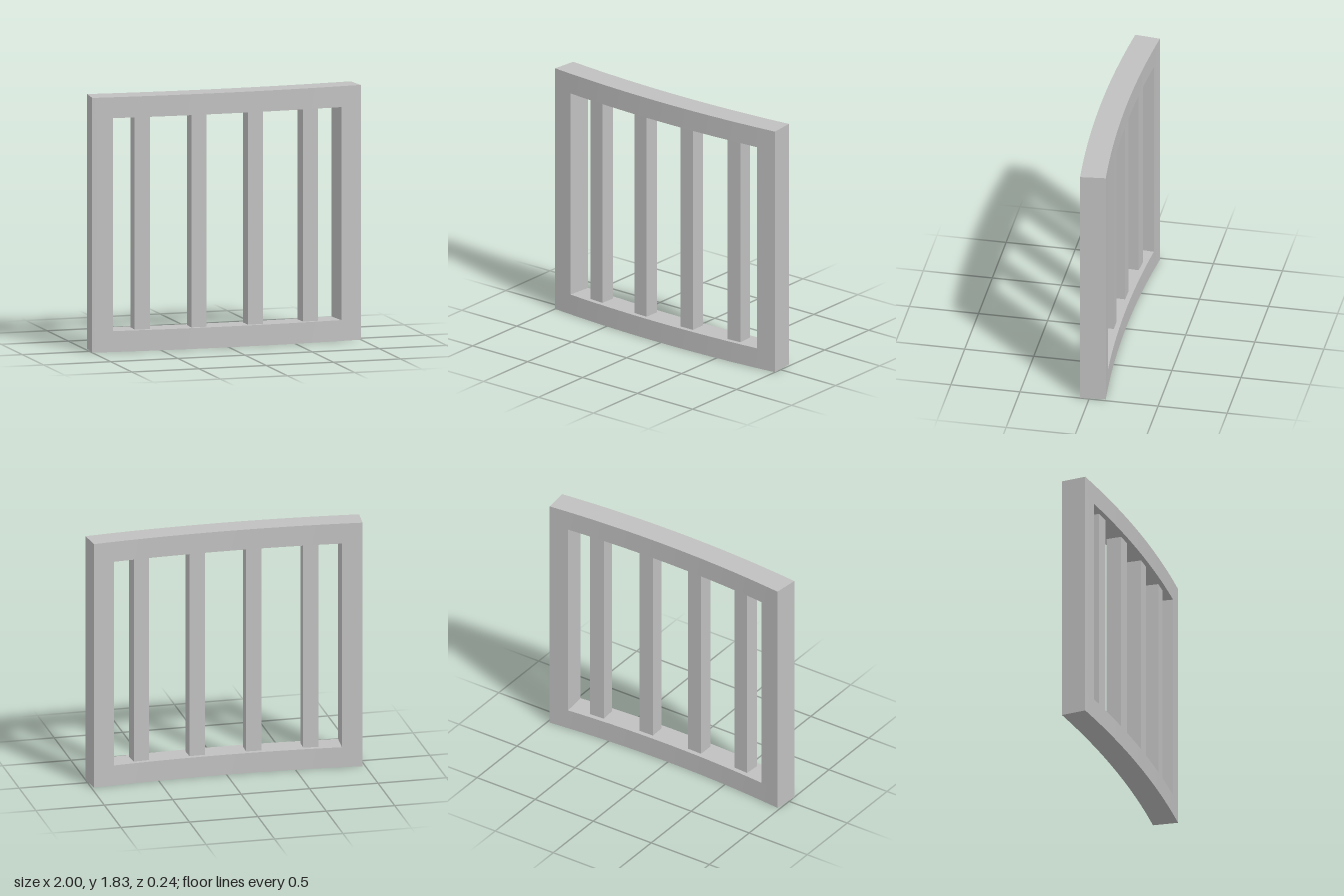
import * as THREE from 'three';

const R = 9.4;          // radius of the curved front face
const DEPTH = 0.183;
const FRONT = 0.118;    // z of the front face at the middle
const HEIGHT = 1.83;
const RAIL = 0.15;
const HALF = 1.002;     // half the arc length of the front face
const INNER = 0.851;    // half the arc length of the opening
const BAR = 0.113;

// Box spanning x0..x1 along the arc and y0..y1, bent around a vertical axis
function bentBox(x0, x1, y0, y1, segments) {
  const geo = new THREE.BoxGeometry(x1 - x0, y1 - y0, DEPTH, segments, 1, 1);
  geo.translate((x0 + x1) / 2, (y0 + y1) / 2, -DEPTH / 2);
  const p = geo.attributes.position;
  for (let i = 0; i < p.count; i++) {
    const a = p.getX(i) / R, r = R + p.getZ(i);
    p.setXYZ(i, r * Math.sin(a), p.getY(i), r * Math.cos(a) - R + FRONT);
  }
  geo.computeVertexNormals();
  return geo;
}

export function createModel() {
  const group = new THREE.Group();
  group.name = 'curvedBarredFrame';
  const grey = new THREE.MeshStandardMaterial({ color: 0xc0c0c0 });
  grey.name = 'light grey';

  const add = (name, geo) => {
    const mesh = new THREE.Mesh(geo, grey);
    mesh.name = name;
    group.add(mesh);
    return mesh;
  };

  // Curved rails
  add('bottomRail', bentBox(-HALF, HALF, 0, RAIL, 24));
  add('topRail', bentBox(-HALF, HALF, HEIGHT - RAIL, HEIGHT, 24));

  // Side stiles
  add('leftStile', bentBox(INNER, HALF, RAIL, HEIGHT - RAIL, 2));
  add('rightStile', bentBox(-HALF, -INNER, RAIL, HEIGHT - RAIL, 2));

  // Square upright bars, each turned to follow the curve
  const mid = R - DEPTH / 2;
  const barGeo = new THREE.BoxGeometry(BAR, HEIGHT - 2 * RAIL, BAR);
  [-0.623, -0.209, 0.209, 0.623].forEach((x, i) => {
    const a = Math.asin(x / mid);
    const bar = add('bar' + (i + 1), barGeo);
    bar.position.set(x, HEIGHT / 2, mid * Math.cos(a) - R + FRONT);
    bar.rotation.y = a;
  });

  return group;
}
